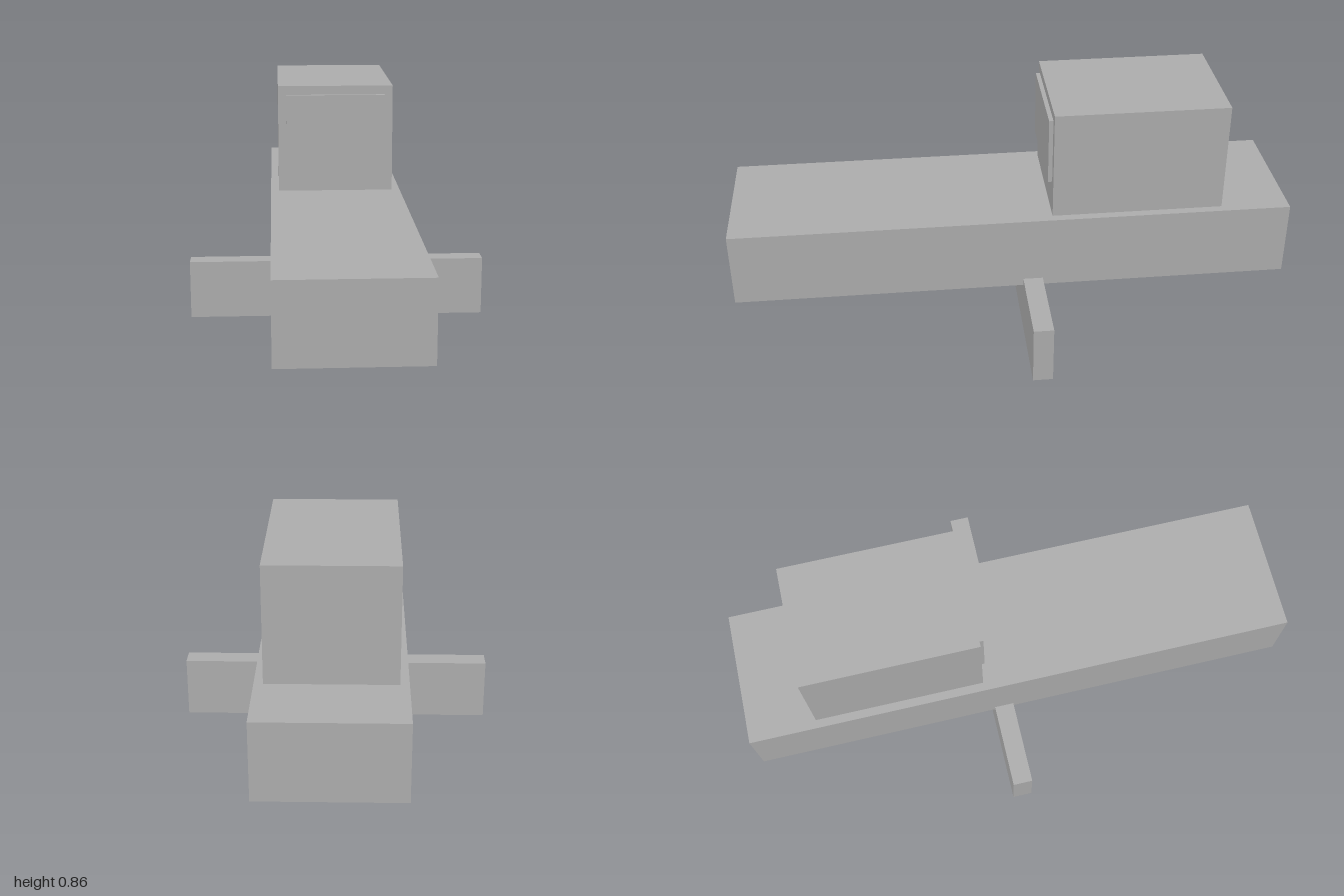
import * as THREE from 'three';

export function createModel() {
  const model = new THREE.Group();
  model.name = 'model';
  const grey = new THREE.MeshStandardMaterial({ color: 0xb0b0b0 });
  grey.name = 'plain grey';

  // Box centred on x = 0, given by its width and its y and z ranges
  function addBox(name, width, [y0, y1], [z0, z1]) {
    const geometry = new THREE.BoxGeometry(width, y1 - y0, z1 - z0);
    const mesh = new THREE.Mesh(geometry, grey);
    mesh.name = name;
    mesh.position.set(0, (y0 + y1) / 2, (z0 + z1) / 2);
    model.add(mesh);
  }

  // Long main body
  addBox('body', 0.49, [0.19, 0.464], [-1, 1]);
  // Raised cabin towards the back, with its front panel
  addBox('cabin', 0.43, [0.464, 0.864], [-0.755, -0.142]);
  addBox('frontPanel', 0.37, [0.588, 0.831], [-0.142, -0.127]);
  // Bar running crosswise through the underside of the body
  addBox('crossbar', 1.106, [0, 0.217], [-0.107, -0.036]);

  return model;
}
